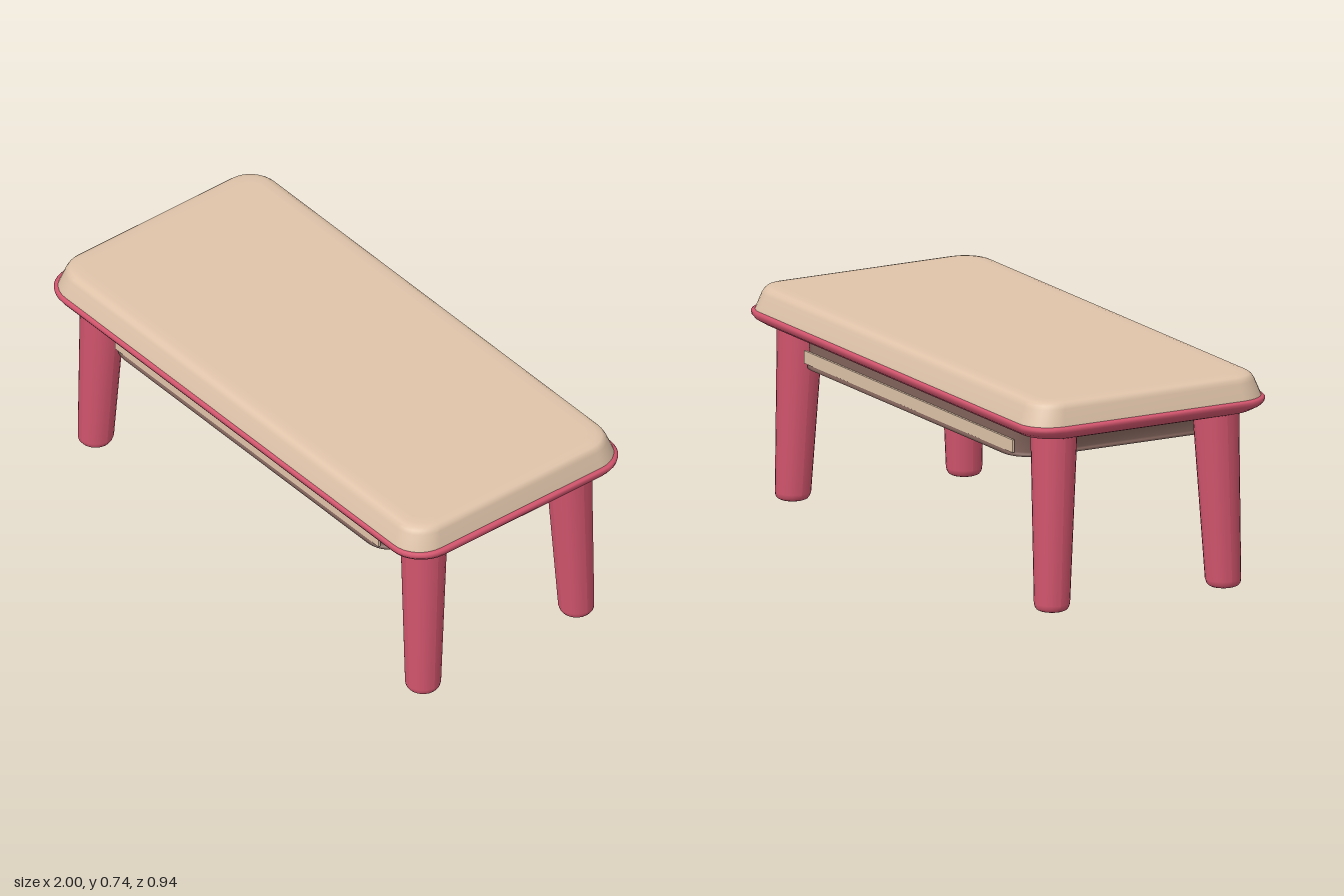
import * as THREE from 'three';

const mat = (name, color, extra = {}) => {
  const m = new THREE.MeshStandardMaterial({ color, ...extra });
  m.name = name;
  return m;
};

// Outline of a rounded rectangle, counter-clockwise seen from above
function outline(hx, hz, r, seg) {
  const pts = [];
  [[1, 1], [-1, 1], [-1, -1], [1, -1]].forEach(([sx, sz], q) => {
    for (let i = 0; i <= seg; i++) {
      const a = (q + i / seg) * Math.PI / 2;
      pts.push([sx * (hx - r) + r * Math.cos(a), sz * (hz - r) + r * Math.sin(a)]);
    }
  });
  return pts;
}

// Skin over stacked sections {y, hx, hz, r, cx, cz}, listed bottom to top, with flat caps
function loft(sections, seg = 8) {
  const pos = [], idx = [];
  const rings = sections.map(({ y, hx, hz, r, cx = 0, cz = 0 }) =>
    outline(hx, hz, r, seg).map(([x, z]) => [x + cx, y, z + cz]));
  const n = rings[0].length;
  rings.forEach(ring => ring.forEach(p => pos.push(...p)));
  for (let k = 0; k < rings.length - 1; k++) {
    for (let i = 0; i < n; i++) {
      const j = (i + 1) % n, a = k * n + i, b = k * n + j;
      idx.push(a, a + n, b, b, a + n, b + n);
    }
  }
  [0, rings.length - 1].forEach((k, top) => {
    const base = pos.length / 3, s = sections[k];
    rings[k].forEach(p => pos.push(...p));
    pos.push(s.cx || 0, s.y, s.cz || 0);
    for (let i = 0; i < n; i++) {
      const a = base + i, b = base + (i + 1) % n;
      if (top) idx.push(base + n, b, a);
      else idx.push(base + n, a, b);
    }
  });
  const g = new THREE.BufferGeometry();
  g.setAttribute('position', new THREE.Float32BufferAttribute(pos, 3));
  g.setIndex(idx);
  g.computeVertexNormals();
  return g;
}

const sec = (y, hx, hz, r) => ({ y, hx, hz, r });

export function createModel() {
  const model = new THREE.Group();
  model.name = 'lowTable';
  const beige = mat('beige', 0xdfc3a9);
  const red = mat('raspberry', 0xd0546c);
  const brown = mat('brown', 0x7d6058);

  const add = (name, geometry, material) => {
    const m = new THREE.Mesh(geometry, material);
    m.name = name;
    model.add(m);
    return m;
  };

  // Padded top with sloping sides and a soft upper edge
  add('tableTop', loft([
    sec(0.655, 0.985, 0.46, 0.11), sec(0.67, 0.981, 0.456, 0.11),
    sec(0.715, 0.967, 0.438, 0.1), sec(0.727, 0.962, 0.432, 0.1),
    sec(0.735, 0.953, 0.422, 0.09), sec(0.739, 0.935, 0.405, 0.08),
    sec(0.74, 0.91, 0.38, 0.06),
  ]), beige);

  // Rim plate with a rounded edge, its underside dipping towards the middle
  add('rimPlate', loft([
    sec(0.56, 0.72, 0.24, 0.06), sec(0.598, 0.9, 0.38, 0.08), sec(0.604, 0.935, 0.405, 0.1),
    sec(0.614, 0.965, 0.435, 0.11), sec(0.63, 0.99, 0.46, 0.12), sec(0.642, 0.998, 0.468, 0.12),
    sec(0.652, 1.0, 0.47, 0.12), sec(0.658, 0.996, 0.466, 0.12), sec(0.66, 0.985, 0.455, 0.11),
  ]), red);

  // Shallow tray hanging underneath
  add('tray', loft([
    sec(0.497, 0.735, 0.38, 0.09), sec(0.499, 0.748, 0.39, 0.1),
    sec(0.507, 0.745, 0.388, 0.1), sec(0.512, 0.738, 0.382, 0.1),
    sec(0.56, 0.752, 0.378, 0.1), sec(0.6, 0.768, 0.372, 0.1),
  ]), brown);

  // Pale strips along the front and back of the tray
  for (const s of [1, -1]) {
    const strip = add(s > 0 ? 'trayStripFront' : 'trayStripBack',
      new THREE.BoxGeometry(1.4, 0.044, 0.008), beige);
    strip.position.set(0, 0.534, s * 0.382);
  }

  // Tapered legs, upright on the outside and slanting on the inside
  for (const sx of [1, -1]) {
    for (const sz of [1, -1]) {
      const ring = (y, r, inset = 0) => ({
        y, hx: r - inset, hz: r - inset, r: r - inset,
        cx: sx * (0.93 - r), cz: sz * (0.392 - r),
      });
      add((sz > 0 ? 'front' : 'back') + (sx > 0 ? 'Left' : 'Right') + 'Leg', loft([
        ring(0, 0.06, 0.016), ring(0.004, 0.06, 0.008), ring(0.012, 0.06, 0.002),
        ring(0.025, 0.061), ring(0.61, 0.079),
      ], 6), red);
    }
  }
  return model;
}
